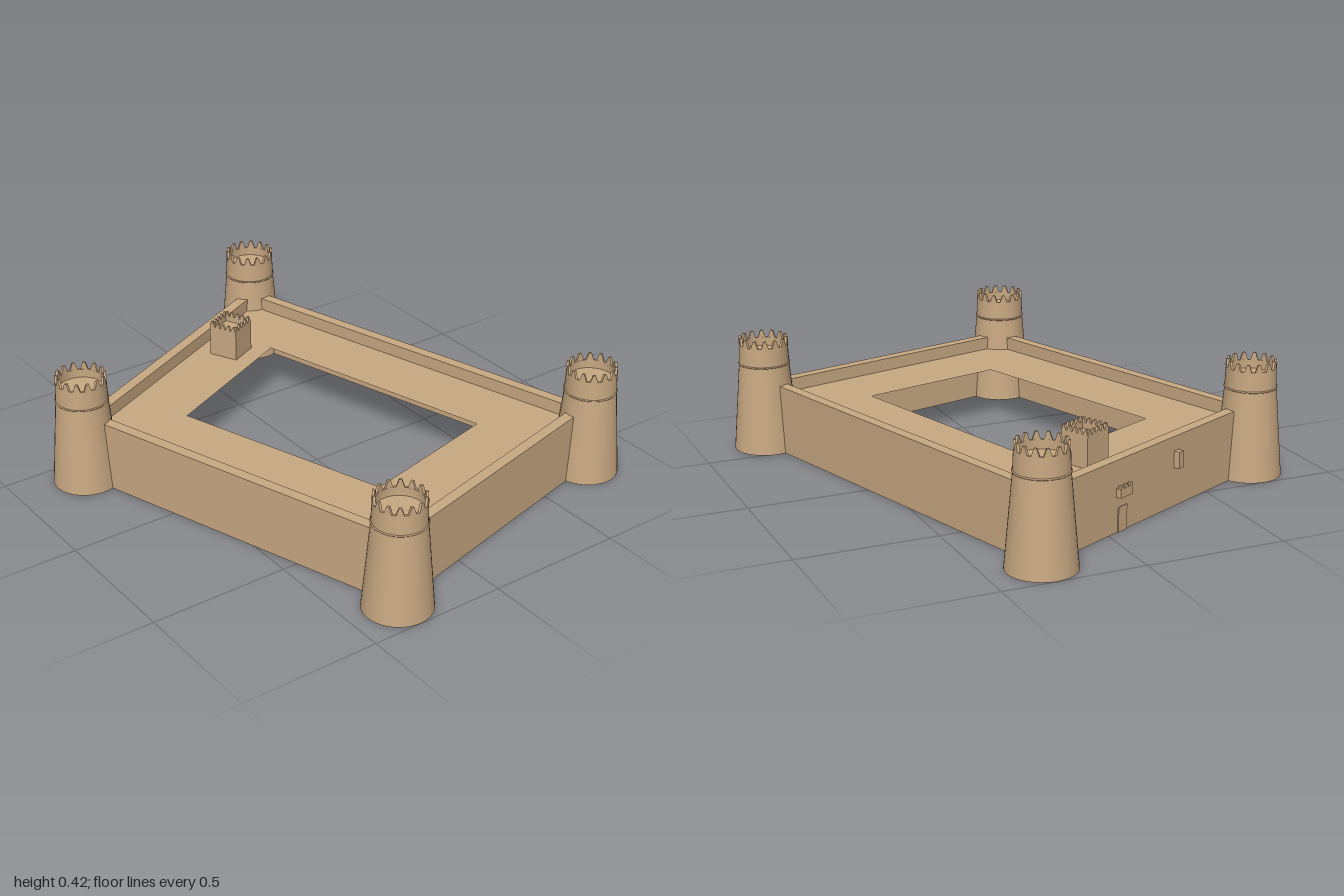
import * as THREE from 'three';

const sandstone = new THREE.MeshStandardMaterial({ color: 0xc8a882, side: THREE.DoubleSide });
sandstone.name = 'sandstone';

const WALL_TOP = 0.252, DECK = 0.205;

// Plan corners, counter-clockwise seen from above, as [x, z]
const corners = [[-0.38, 0.735], [0.88, 0.32], [0.61, -0.745], [-0.88, -0.31]];
const courtyard = [[-0.24, 0.395], [0.54, 0.134], [0.41, -0.4], [-0.49, -0.14]];

function mesh(name, geometry, parent, x = 0, y = 0, z = 0) {
  const m = new THREE.Mesh(geometry, sandstone);
  m.name = name;
  m.position.set(x, y, z);
  parent.add(m);
  return m;
}

function box(name, parent, w, h, d, x, y, z) {
  return mesh(name, new THREE.BoxGeometry(w, h, d), parent, x, y + h / 2, z);
}

// Moves every corner of a loop inwards by a distance
function inset(loop, d) {
  const n = loop.length;
  return loop.map(([x, z], i) => {
    const c = new THREE.Vector2(x, z);
    const a = new THREE.Vector2(...loop[(i + 1) % n]).sub(c).normalize();
    const b = new THREE.Vector2(...loop[(i + n - 1) % n]).sub(c).normalize();
    const p = a.clone().add(b).multiplyScalar(d / Math.abs(a.cross(b))).add(c);
    return [p.x, p.y];
  });
}

// Flat faces joining two loops at two heights
function band(a, ya, b, yb) {
  const pos = [];
  a.forEach((p, i) => {
    const j = (i + 1) % a.length;
    const A = [p[0], ya, p[1]], B = [a[j][0], ya, a[j][1]];
    const C = [b[j][0], yb, b[j][1]], D = [b[i][0], yb, b[i][1]];
    pos.push(...A, ...B, ...C, ...A, ...C, ...D);
  });
  const g = new THREE.BufferGeometry();
  g.setAttribute('position', new THREE.Float32BufferAttribute(pos, 3));
  g.computeVertexNormals();
  return g;
}

// Small pointed merlon standing on y = 0, centred in depth
function merlonGeometry(w, h, d) {
  const s = new THREE.Shape();
  s.moveTo(-w / 2, 0);
  s.lineTo(w / 2, 0);
  s.lineTo(w * 0.16, h);
  s.lineTo(-w * 0.16, h);
  s.closePath();
  return new THREE.ExtrudeGeometry(s, { depth: d, bevelEnabled: false }).translate(0, 0, -d / 2);
}

function makeTower(x, z) {
  const tower = new THREE.Group();
  tower.name = 'tower';
  tower.position.set(x, 0, z);
  // Each section is its own lathe so the edges between them stay sharp
  const sections = [
    ['taperedShaft', [0.12, 0], [0.092, 0.32]],
    ['upperDrum', [0.092, 0.32], [0.089, 0.396]],
    ['rim', [0.089, 0.396], [0.08, 0.396]],
    ['innerParapet', [0.08, 0.396], [0.08, 0.365]],
    ['towerFloor', [0.08, 0.365], [0, 0.365]],
  ];
  for (const [name, ...pts] of sections) {
    mesh(name, new THREE.LatheGeometry(pts.map(p => new THREE.Vector2(...p)), 40), tower);
  }
  // Moulding around the drum
  mesh('stringCourse', new THREE.TorusGeometry(0.0915, 0.0035, 6, 40).rotateX(Math.PI / 2), tower, 0, 0.325, 0);
  // Ring of merlons
  const tooth = merlonGeometry(0.028, 0.028, 0.009);
  const count = 14;
  for (let i = 0; i < count; i++) {
    const a = (i / count) * Math.PI * 2;
    const m = mesh('merlon', tooth, tower, Math.sin(a) * 0.0845, 0.395, Math.cos(a) * 0.0845);
    m.rotation.y = a;
  }
  return tower;
}

function makeKeep() {
  const keep = new THREE.Group();
  keep.name = 'gateKeep';
  const s = 0.112, t = 0.009, floor = 0.3, top = 0.32;
  box('keepBody', keep, s, floor - 0.2, s, 0, 0.2, 0);
  const tooth = merlonGeometry(0.019, 0.018, t);
  for (let k = 0; k < 4; k++) {
    const side = new THREE.Group();
    side.name = 'keepParapet';
    side.rotation.y = k * Math.PI / 2;
    box('parapetWall', side, s, top - floor, t, 0, floor, s / 2 - t / 2);
    for (let i = 0; i < 5; i++) {
      mesh('merlon', tooth, side, (i - 2) * 0.0225, top, s / 2 - t / 2);
    }
    keep.add(side);
  }
  return keep;
}

export function createModel() {
  const fort = new THREE.Group();
  fort.name = 'fort';

  // Curtain walls, parapet and the walkway around the open court
  const inner = inset(corners, 0.04);
  mesh('curtainWalls', band(corners, 0, corners, WALL_TOP), fort);
  mesh('parapetTop', band(corners, WALL_TOP, inner, WALL_TOP), fort);
  mesh('parapetInside', band(inner, WALL_TOP, inner, DECK), fort);
  mesh('roofDeck', band(inner, DECK, courtyard, DECK), fort);

  // Corner towers
  for (const [x, z] of corners) fort.add(makeTower(x, z));

  // Gate side: x runs along the wall, z points outwards
  const gateSide = new THREE.Group();
  gateSide.name = 'gateSide';
  const [bx, bz] = corners[3], [fx, fz] = corners[0];
  gateSide.position.set(bx, 0, bz);
  gateSide.rotation.y = -Math.atan2(fz - bz, fx - bx);
  fort.add(gateSide);

  const s = 0.415;
  box('door', gateSide, 0.046, 0.087, 0.008, s, 0, 0);

  // Small projecting box above the door
  box('doorBalcony', gateSide, 0.066, 0.03, 0.022, s, 0.125, 0.008);
  for (const i of [-1, 0, 1]) {
    box('balconyMerlon', gateSide, 0.014, 0.012, 0.012, s + i * 0.024, 0.152, 0.013);
  }

  // Projecting narrow bay further along the wall
  box('narrowBay', gateSide, 0.024, 0.06, 0.028, 0.715, 0.14, 0.008);

  const keep = makeKeep();
  keep.position.set(0.413, 0, -0.157);
  gateSide.add(keep);

  return fort;
}
